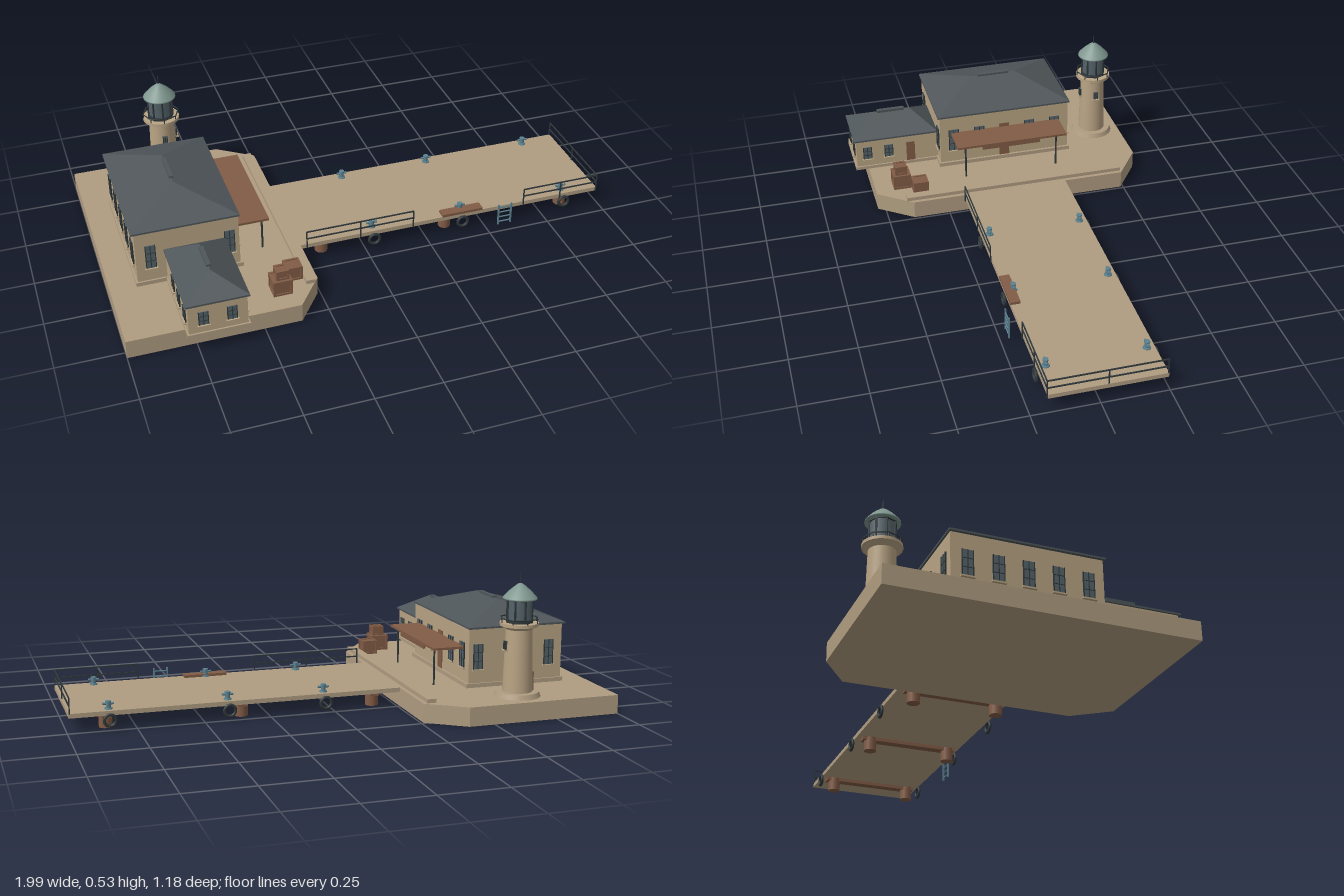
import * as THREE from 'three';

const mat = (name, color) => Object.assign(new THREE.MeshStandardMaterial({ color }), { name });
const M = {
  stone: mat('stone', 0xb09d81),
  wall: mat('wall', 0xb9a484),
  roof: mat('slate', 0x4f5659),
  wood: mat('wood', 0x825c46),
  copper: mat('copper', 0x7f978f),
  steel: mat('steel', 0x5c8290),
  dark: mat('iron', 0x30383b),
  glass: mat('glass', 0x55646a),
};
const slateSides = M.roof.clone();
slateSides.side = THREE.DoubleSide;

function add(parent, name, geo, material, x = 0, y = 0, z = 0) {
  const m = new THREE.Mesh(geo, material);
  m.name = name;
  m.position.set(x, y, z);
  parent.add(m);
  return m;
}
// box given by its min and max on each axis
function box(parent, name, material, x0, x1, y0, y1, z0, z1) {
  return add(parent, name, new THREE.BoxGeometry(x1 - x0, y1 - y0, z1 - z0), material,
    (x0 + x1) / 2, (y0 + y1) / 2, (z0 + z1) / 2);
}
// upright cylinder or cone standing on y
function post(parent, name, material, rTop, rBottom, y0, y1, x, z, sides = 16) {
  return add(parent, name, new THREE.CylinderGeometry(rTop, rBottom, y1 - y0, sides), material, x, (y0 + y1) / 2, z);
}
function group(parent, name) {
  const g = new THREE.Group();
  g.name = name;
  parent.add(g);
  return g;
}

// hipped roof: eaves rectangle and a ridge along z
function hipRoof(parent, w, d, h, ridge, x, y, z) {
  const X = w / 2, Z = d / 2, R = ridge / 2;
  const a = [-X, 0, -Z], b = [-X, 0, Z], c = [X, 0, Z], e = [X, 0, -Z], p = [0, h, -R], q = [0, h, R];
  const tris = [c, e, p, c, p, q, a, b, q, a, q, p, b, c, q, e, a, p];
  const geo = new THREE.BufferGeometry();
  geo.setAttribute('position', new THREE.Float32BufferAttribute(tris.flat(), 3));
  geo.computeVertexNormals();
  add(parent, 'hipRoof', geo, slateSides, x, y, z);
  box(parent, 'eaves', M.roof, x - X, x + X, y - 0.007, y, z - Z, z + Z);
  box(parent, 'ridgeCap', M.roof, x - 0.008, x + 0.008, y + h - 0.008, y + h + 0.006, z - R * 0.72, z + R * 0.72);
}

// window or door set on a wall, turned by angle about y
function opening(parent, name, x, y, z, angle, w, h, isDoor) {
  const g = group(parent, name);
  g.position.set(x, y, z);
  g.rotation.y = angle;
  box(g, 'pane', isDoor ? M.wood : M.glass, -w / 2, w / 2, 0, h, -0.003, 0.003);
  if (isDoor) return;
  box(g, 'mullion', M.dark, -0.0015, 0.0015, 0, h, 0.002, 0.005);
  for (const t of [0.33, 0.67]) box(g, 'glazingBar', M.dark, -w / 2, w / 2, h * t - 0.001, h * t + 0.001, 0.002, 0.005);
  for (const s of [-1, 1]) box(g, 'jamb', M.dark, s * w / 2 - 0.0015, s * w / 2 + 0.0015, 0, h, 0, 0.005);
  box(g, 'sill', M.wall, -w / 2 - 0.006, w / 2 + 0.006, -0.006, 0, -0.002, 0.01);
}

function buildIsland(root) {
  const s = new THREE.Shape([[-1, -0.59], [-0.4, -0.59], [-0.26, -0.49], [-0.26, 0.395], [-0.36, 0.53], [-1, 0.53]]
    .map(([x, z]) => new THREE.Vector2(x, -z)));
  const geo = new THREE.ExtrudeGeometry(s, { depth: 0.072, bevelEnabled: false }).rotateX(-Math.PI / 2);
  add(root, 'islandBase', geo, M.stone);
  box(root, 'quayKerb', M.stone, -0.31, -0.275, 0.07, 0.087, -0.49, 0.42);
}

function buildHouses(root) {
  const E = Math.PI / 2, W = -Math.PI / 2;
  const main = group(root, 'mainHouse');
  box(main, 'plinth', M.stone, -0.902, -0.498, 0.072, 0.088, -0.332, 0.237);
  box(main, 'walls', M.wall, -0.895, -0.508, 0.072, 0.3, -0.325, 0.23);
  hipRoof(main, 0.402, 0.57, 0.068, 0.19, -0.705, 0.306, -0.047);
  for (const z of [0.172, 0.062, -0.155, -0.265]) {
    opening(main, 'window', -0.508, 0.142, z, E, 0.04, 0.098);
    opening(main, 'window', -0.895, 0.142, z, W, 0.04, 0.098);
  }
  opening(main, 'window', -0.895, 0.142, -0.047, W, 0.04, 0.098);
  opening(main, 'door', -0.508, 0.088, -0.046, E, 0.042, 0.152, true);
  for (const x of [-0.84, -0.545]) {
    opening(main, 'window', x, 0.142, 0.23, 0, 0.036, 0.098);
    opening(main, 'window', x, 0.142, -0.325, Math.PI, 0.036, 0.098);
  }
  opening(main, 'window', -0.7, 0.142, -0.325, Math.PI, 0.036, 0.098);

  const annex = group(root, 'annex');
  box(annex, 'plinth', M.stone, -0.79, -0.563, 0.072, 0.085, 0.23, 0.583);
  box(annex, 'walls', M.wall, -0.785, -0.57, 0.072, 0.206, 0.225, 0.576);
  hipRoof(annex, 0.23, 0.354, 0.066, 0.16, -0.677, 0.212, 0.408);
  for (const z of [0.53, 0.44]) opening(annex, 'window', -0.57, 0.118, z, E, 0.034, 0.055);
  for (const z of [0.53, 0.44, 0.35]) opening(annex, 'window', -0.785, 0.118, z, W, 0.034, 0.055);
  opening(annex, 'door', -0.57, 0.085, 0.347, E, 0.036, 0.088, true);
  for (const x of [-0.73, -0.627]) opening(annex, 'window', x, 0.118, 0.576, 0, 0.034, 0.055);

  const canopy = group(root, 'canopy');
  box(canopy, 'canopyRoof', M.wood, -0.508, -0.38, 0.216, 0.225, -0.284, 0.183);
  box(canopy, 'fascia', M.wood, -0.394, -0.384, 0.199, 0.217, -0.17, 0.075);
  for (const z of [-0.243, 0.146]) post(canopy, 'canopyPost', M.dark, 0.004, 0.004, 0.072, 0.218, -0.4, z, 8);
}

function buildLighthouse(root) {
  const g = group(root, 'lighthouse');
  g.position.set(-0.64, 0, -0.475);
  post(g, 'footing', M.stone, 0.08, 0.088, 0.07, 0.09, 0, 0, 24);
  post(g, 'tower', M.wall, 0.049, 0.056, 0.09, 0.335, 0, 0, 24);
  post(g, 'corbel', M.wall, 0.066, 0.049, 0.325, 0.338, 0, 0, 24);
  post(g, 'gallery', M.wall, 0.072, 0.072, 0.338, 0.35, 0, 0, 24);
  post(g, 'lanternBase', M.dark, 0.052, 0.052, 0.35, 0.362, 0, 0, 8);
  post(g, 'lanternGlass', M.glass, 0.047, 0.047, 0.36, 0.435, 0, 0, 8).material = M.glass;
  post(g, 'lanternRim', M.dark, 0.052, 0.052, 0.433, 0.441, 0, 0, 8);
  for (let i = 0; i < 8; i++) {
    const a = i * Math.PI / 4, s = Math.sin(a), c = Math.cos(a);
    post(g, 'lanternBar', M.dark, 0.004, 0.004, 0.36, 0.436, 0.048 * s, 0.048 * c, 6);
    post(g, 'galleryPost', M.dark, 0.002, 0.002, 0.348, 0.366, 0.07 * s, 0.07 * c, 6);
  }
  const rail = add(g, 'galleryRail', new THREE.TorusGeometry(0.071, 0.0025, 6, 8), M.dark, 0, 0.366, 0);
  rail.rotation.x = Math.PI / 2;
  // curved cap with a ball and spike
  const cap = [[0, 0.437], [0.064, 0.437], [0.063, 0.443], [0.04, 0.468], [0.018, 0.487], [0.008, 0.494], [0, 0.497]]
    .map(([r, y]) => new THREE.Vector2(r, y));
  add(g, 'lanternRoof', new THREE.LatheGeometry(cap, 24), M.copper);
  post(g, 'spike', M.dark, 0.0015, 0.003, 0.49, 0.53, 0, 0, 6);
  opening(g, 'window', 0.053, 0.25, 0, Math.PI / 2, 0.016, 0.032);
  opening(g, 'window', 0, 0.25, 0.053, 0, 0.016, 0.032);
  opening(g, 'door', -0.056, 0.09, 0, -Math.PI / 2, 0.03, 0.07, true);
}

function buildPier(root) {
  const g = group(root, 'pier');
  box(g, 'deck', M.stone, -0.265, 0.993, 0.055, 0.072, -0.245, 0.184);
  for (const x of [-0.165, 0.35, 0.855]) {
    box(g, 'crossBeam', M.wood, x - 0.018, x + 0.018, 0.041, 0.056, -0.225, 0.165);
    for (const z of [-0.19, 0.137]) post(g, 'pile', M.wood, 0.025, 0.025, 0, 0.054, x, z, 14);
  }
  for (const x of [0.037, 0.407, 0.847]) {
    for (const [z, tyreZ] of [[-0.215, -0.251], [0.153, 0.19]]) {
      const b = group(g, 'bollard');
      post(b, 'bollardBase', M.steel, 0.014, 0.016, 0.07, 0.077, x, z, 12);
      post(b, 'bollardStem', M.steel, 0.009, 0.009, 0.076, 0.1, x, z, 12);
      const bar = post(b, 'bollardBar', M.steel, 0.0045, 0.0045, 0, 0.042, x, z, 8);
      bar.position.y = 0.092;
      bar.rotation.z = Math.PI / 2;
      post(b, 'bollardCap', M.steel, 0.011, 0.011, 0.097, 0.102, x, z, 12);
      add(g, 'tyreFender', new THREE.TorusGeometry(0.021, 0.006, 8, 20), M.dark, x, 0.038, tyreZ);
    }
  }
  box(g, 'gangplank', M.wood, 0.323, 0.492, 0.071, 0.082, 0.147, 0.186);

  // railings: two runs along the front and one across the end
  const r = 0.0022;
  const rails = group(g, 'railings');
  for (const [x0, x1] of [[-0.236, 0.198], [0.668, 0.99]]) {
    for (const y of [0.1, 0.131]) box(rails, 'rail', M.dark, x0, x1, y - r, y + r, 0.188 - r, 0.188 + r);
    for (const x of [x0, (x0 + x1) / 2, x1]) box(rails, 'railPost', M.dark, x - r, x + r, 0.058, 0.131, 0.188 - r, 0.188 + r);
  }
  for (const y of [0.1, 0.131]) box(rails, 'endRail', M.dark, 0.99 - r, 0.99 + r, y - r, y + r, -0.243, 0.188);
  for (const z of [-0.243, -0.03]) box(rails, 'railPost', M.dark, 0.99 - r, 0.99 + r, 0.07, 0.131, z - r, z + r);

  const ladder = group(g, 'ladder');
  for (const x of [0.547, 0.6]) box(ladder, 'ladderSide', M.steel, x - 0.003, x + 0.003, 0.012, 0.103, 0.216, 0.222);
  for (let i = 0; i < 4; i++) post(ladder, 'rung', M.steel, 0.003, 0.003, 0, 0.053, 0.5735, 0.219, 6)
    .position.setY(0.024 + i * 0.022);
  ladder.children.filter((m) => m.name === 'rung').forEach((m) => { m.rotation.z = Math.PI / 2; });
}

// crate with raised edge battens
function crate(root, x, y, z, w, h) {
  const g = group(root, 'crate');
  g.position.set(x, y, z);
  const k = w / 2, t = 0.004;
  box(g, 'crateBody', M.wood, -k + t, k - t, 0, h - t, -k + t, k - t);
  for (const s of [-1, 1]) {
    for (const yy of [0, h - 0.008]) {
      box(g, 'batten', M.wood, -k, k, yy, yy + 0.008, s * (k - t) - t, s * (k - t) + t);
      box(g, 'batten', M.wood, s * (k - t) - t, s * (k - t) + t, yy, yy + 0.008, -k, k);
    }
    for (const u of [-1, 1]) box(g, 'batten', M.wood, s * (k - t) - t, s * (k - t) + t, 0, h, u * (k - t) - t, u * (k - t) + t);
  }
}

export function createModel() {
  const root = new THREE.Group();
  root.name = 'harbourStation';
  buildIsland(root);
  buildHouses(root);
  buildLighthouse(root);
  buildPier(root);
  crate(root, -0.408, 0.072, 0.42, 0.072, 0.062);
  crate(root, -0.405, 0.134, 0.422, 0.048, 0.038);
  crate(root, -0.343, 0.072, 0.353, 0.062, 0.056);
  return root;
}
